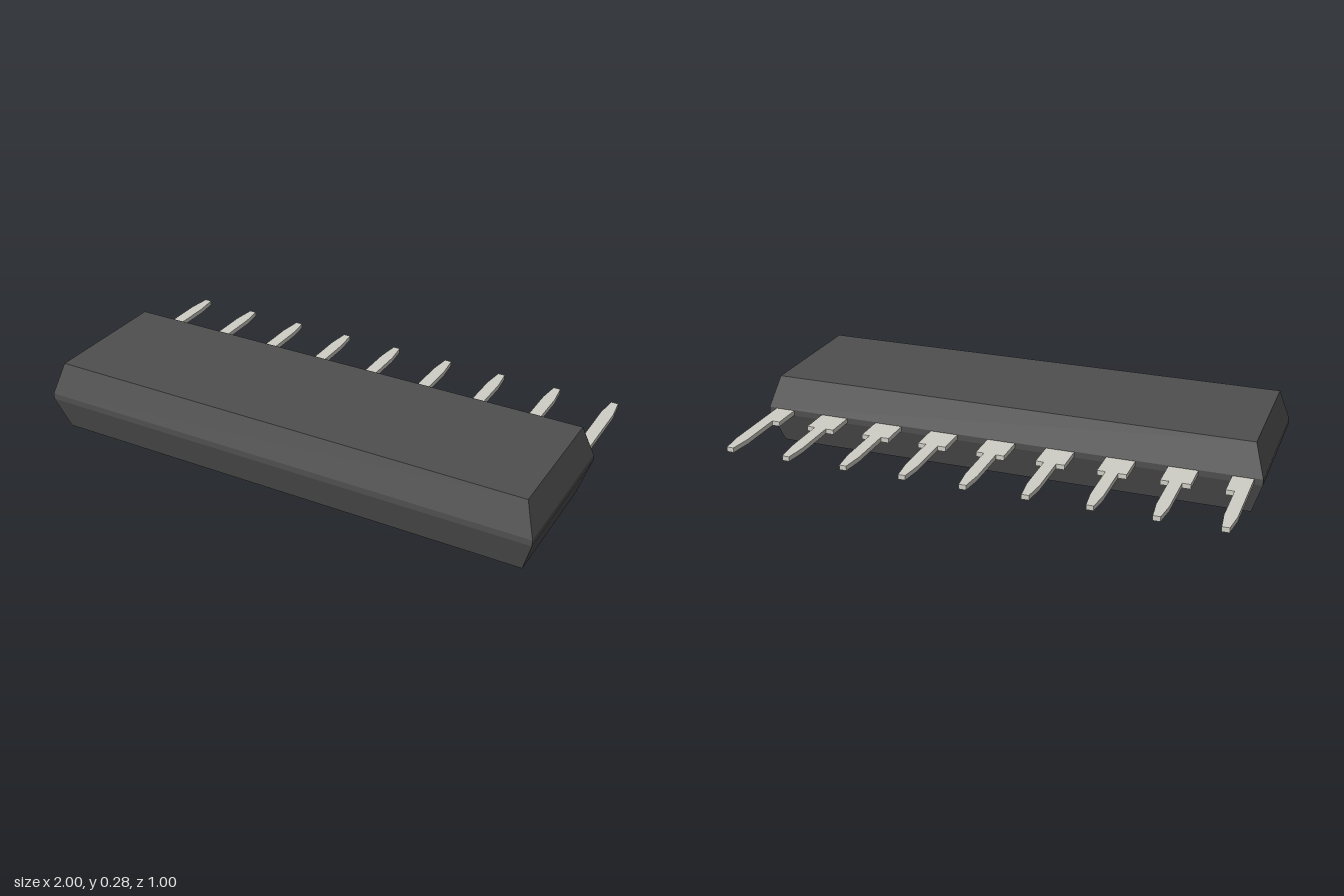
import * as THREE from 'three';

const BODY_Z = 0.2; // centre of the package in z
const DIMPLE = { x: -0.857, z: 0.043, r: 0.048, depth: 0.015 };

// Package shell: four rectangular rings joined by flat walls, closed on top
function shellGeometry() {
  const rings = [
    [0, 0.96, 0.26],
    [0.13, 1, 0.298],
    [0.154, 1, 0.298],
    [0.28, 0.96, 0.26],
  ].map(([y, w, d]) => [[w, d], [w, -d], [-w, -d], [-w, d]].map(([x, z]) => [x, y, BODY_Z + z]));
  const pos = [];
  const quad = (a, b, c, d) => pos.push(...a, ...b, ...c, ...a, ...c, ...d);
  for (let r = 0; r < 3; r++) {
    for (let i = 0; i < 4; i++) {
      const j = (i + 1) % 4;
      quad(rings[r][i], rings[r][j], rings[r + 1][j], rings[r + 1][i]);
    }
  }
  quad(...rings[3]);
  const geo = new THREE.BufferGeometry();
  geo.setAttribute('position', new THREE.Float32BufferAttribute(pos, 3));
  geo.computeVertexNormals();
  return geo;
}

// Underside with a round opening for the orientation dimple
function undersideGeometry() {
  const s = new THREE.Shape([
    new THREE.Vector2(-0.96, BODY_Z - 0.26),
    new THREE.Vector2(0.96, BODY_Z - 0.26),
    new THREE.Vector2(0.96, BODY_Z + 0.26),
    new THREE.Vector2(-0.96, BODY_Z + 0.26),
  ]);
  const hole = new THREE.Path();
  hole.absarc(DIMPLE.x, DIMPLE.z, DIMPLE.r, 0, Math.PI * 2, true);
  s.holes.push(hole);
  return new THREE.ShapeGeometry(s, 16).rotateX(Math.PI / 2);
}

// Flat stamped pin; left and right are the shoulder half-widths
function pinGeometry(left, right) {
  const n = 0.024;
  const outline = [
    [-left, -0.08], [-left, -0.22], [-n, -0.22], [-n, -0.41], [-0.014, -0.498],
    [0.014, -0.498], [n, -0.41], [n, -0.22], [right, -0.22], [right, -0.08],
  ].map(([x, z]) => new THREE.Vector2(x, z));
  return new THREE.ExtrudeGeometry(new THREE.Shape(outline), { depth: 0.019, bevelEnabled: false })
    .rotateX(Math.PI / 2);
}

export function createModel() {
  const model = new THREE.Group();
  const plastic = new THREE.MeshStandardMaterial({ color: 0x4f4f4f });
  const recess = new THREE.MeshStandardMaterial({ color: 0x4f4f4f, side: THREE.DoubleSide });
  const metal = new THREE.MeshStandardMaterial({ color: 0xd0cfc6 });
  const add = (parent, name, geo, mat) => {
    const mesh = new THREE.Mesh(geo, mat);
    mesh.name = name;
    parent.add(mesh);
    return mesh;
  };

  // Package
  const body = new THREE.Group();
  body.name = 'packageBody';
  add(body, 'shell', shellGeometry(), plastic);
  add(body, 'underside', undersideGeometry(), plastic);

  // Orientation dimple
  const { x, z, r, depth } = DIMPLE;
  add(body, 'dimpleWall', new THREE.CylinderGeometry(r, r, depth, 32, 1, true), recess)
    .position.set(x, depth / 2, z);
  add(body, 'dimpleFloor', new THREE.CircleGeometry(r, 32).rotateX(Math.PI / 2), plastic)
    .position.set(x, depth, z);
  model.add(body);

  // Row of nine pins; the end pins lose their outer shoulder
  const pins = new THREE.Group();
  pins.name = 'pins';
  for (let i = 0; i < 9; i++) {
    const geo = pinGeometry(i === 0 ? 0.024 : 0.056, i === 8 ? 0.024 : 0.056);
    add(pins, `pin${i + 1}`, geo, metal).position.set((i - 4) * 0.236, 0.152, 0);
  }
  model.add(pins);
  return model;
}
